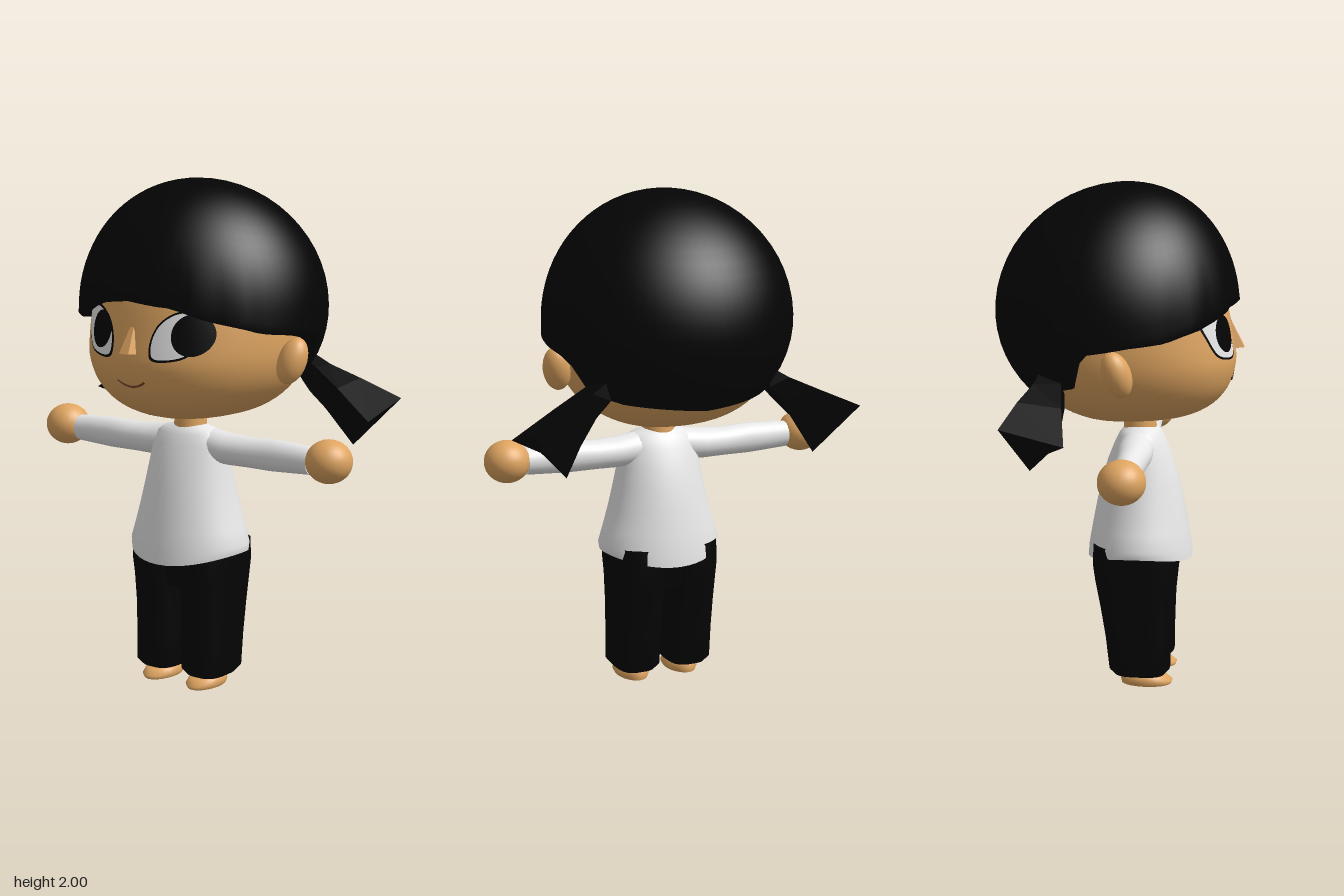
import * as THREE from 'three';
import { ConvexGeometry } from 'three/addons/geometries/ConvexGeometry.js';

const V = (x, y, z) => new THREE.Vector3(x, y, z);
const mat = (name, color, side = THREE.FrontSide) => {
  const m = new THREE.MeshStandardMaterial({ color, side });
  m.name = name;
  return m;
};

// Join rings of equal length into a skin; caps get their own vertices so edges stay sharp
function loft(rings, caps = true) {
  const n = rings[0].length, pos = [], idx = [];
  rings.forEach(r => r.forEach(p => pos.push(p.x, p.y, p.z)));
  for (let i = 0; i < rings.length - 1; i++) for (let j = 0; j < n; j++) {
    const a = i * n + j, b = i * n + (j + 1) % n;
    idx.push(a, b, b + n, a, b + n, a + n);
  }
  if (caps) [rings[0], rings[rings.length - 1]].forEach((r, k) => {
    const base = pos.length / 3, c = V(0, 0, 0);
    r.forEach(p => { pos.push(p.x, p.y, p.z); c.addScaledVector(p, 1 / n); });
    pos.push(c.x, c.y, c.z);
    for (let j = 0; j < n; j++) {
      const a = base + j, b = base + (j + 1) % n;
      k ? idx.push(base + n, a, b) : idx.push(base + n, b, a);
    }
  });
  const g = new THREE.BufferGeometry();
  g.setAttribute('position', new THREE.Float32BufferAttribute(pos, 3));
  g.setIndex(idx);
  g.computeVertexNormals();
  return g;
}

// Horizontal superellipse ring with separate front and back depth
function ring(y, rx, rf, rb, { cx = 0, cz = 0, n = 2, seg = 40, lift = 0 } = {}) {
  return Array.from({ length: seg }, (_, j) => {
    const a = j / seg * Math.PI * 2, s = Math.sin(a), c = Math.cos(a);
    const pw = v => Math.sign(v) * Math.abs(v) ** (2 / n);
    return V(cx + pw(s) * rx, y + lift * s * s, cz + pw(c) * (c > 0 ? rf : rb));
  });
}

// Head form: half width and front depth at each height; the brow leans back
const HEAD_N = 2.2;
function headSize(y) {
  const d = Math.min(1, Math.abs(y - 1.4) / (y < 1.4 ? 0.33 : 0.47));
  const rx = 0.42 * (1 - d ** 2.3) ** (1 / 2.3);
  const lean = 1 - 0.4 * Math.max(0, y - 1.32);
  return { rx, rf: 0.46 * Math.cbrt(1 - d ** 3) * lean, rb: 0.4 * Math.sqrt(1 - d * d) };
}
function onFace(x, y, off) {
  const { rx, rf } = headSize(y);
  return V(x, y, off + rf * Math.max(0, 1 - (Math.abs(x) / rx) ** HEAD_N) ** (1 / HEAD_N));
}

// Thin painted patch that follows the face, from a counterclockwise outline
function decal(outline, off) {
  const c = outline.reduce((s, p) => s.add(p), V(0, 0, 0)).divideScalar(outline.length);
  const rings = [];
  for (let i = 6; i >= 0; i--) rings.push(outline.map(p => {
    const q = c.clone().lerp(p, i / 6);
    return onFace(q.x, q.y, off);
  }));
  return loft(rings, false);
}

// Hair rim height against angle from the front, in degrees
const RIM = [[0, 1.56], [22, 1.54], [38, 1.495], [54, 1.465], [62, 1.445], [80, 1.43], [104, 1.395], [108, 1.26], [130, 1.22], [180, 1.19]];
function rimHeight(deg) {
  const i = Math.max(1, RIM.findIndex(p => p[0] >= deg - 1e-6));
  const [a, ya] = RIM[i - 1], [b, yb] = RIM[i];
  return ya + (yb - ya) * (deg - a) / (b - a);
}
function hairGeometry() {
  const seg = 72, steps = 20, rings = [];
  for (let i = -1; i <= steps; i++) {
    const t = Math.max(0, i) / steps, r = [];
    for (let j = 0; j < seg; j++) {
      const a = j / seg * Math.PI * 2, deg = Math.min(j, seg - j) * 360 / seg;
      const d = rimHeight(deg) - 1.5, p0 = Math.asin(d / (d > 0 ? 0.5 : 0.45));
      const p = p0 + (Math.PI / 2 - p0) * t, up = Math.sin(p);
      const lock = deg < 65 ? 1 + 0.018 * (j % 4 / 3 - 0.5) * Math.max(0, 1 - 3 * t) : 1;
      const hang = p < 0 && deg < 105 ? 1 : Math.cos(p);
      const s = hang * lock * (i < 0 ? 0.85 : 1);
      r.push(V(Math.sin(a) * 0.497 * s, 1.5 + up * (p > 0 ? 0.5 : 0.45),
        Math.cos(a) * (Math.cos(a) > 0 ? 0.47 : 0.49) * s + (p > 0 ? 0.03 * up * up : 0)));
    }
    rings.push(r);
  }
  return loft(rings, false);
}

export function createModel() {
  const skin = mat('skin', 0xdfa561);
  const black = mat('black hair and trousers', 0x040404, THREE.DoubleSide);
  const white = mat('white cloth', 0xebebeb, THREE.DoubleSide);
  const lip = mat('mouth brown', 0x6b3f24);
  const model = new THREE.Group();
  model.name = 'doll';
  const add = (name, geo, m, parent = model) => {
    const mesh = new THREE.Mesh(geo, m);
    mesh.name = name;
    parent.add(mesh);
    return mesh;
  };

  // Head, neck and hair
  const headRings = [];
  for (let i = 0; i <= 40; i++) {
    const p = (i / 40 - 0.5) * Math.PI, s = Math.sin(p), y = 1.4 + s * (s < 0 ? 0.33 : 0.47);
    const h = headSize(y);
    headRings.push(ring(y, h.rx, h.rf, h.rb, { n: HEAD_N, seg: 72 }));
  }
  add('head', loft(headRings, false), skin);
  add('neck', new THREE.CylinderGeometry(0.06, 0.07, 0.14, 24), skin).position.set(0, 1.05, 0.08);
  add('hair', hairGeometry(), black);

  // Nose and mouth
  add('nose', new ConvexGeometry([V(-0.008, 1.46, 0.438), V(0.008, 1.46, 0.438), V(-0.035, 1.36, 0.43),
    V(0.035, 1.36, 0.43), V(-0.022, 1.363, 0.488), V(0.022, 1.363, 0.488)]), skin);
  const smile = [];
  for (let i = -4; i <= 4; i++) smile.push(onFace(i * 0.016, 1.234 + 0.022 * (i / 4) ** 2, 0));
  add('mouth', new THREE.TubeGeometry(new THREE.CatmullRomCurve3(smile), 20, 0.0045, 6), lip);

  // Eyes: black rim, white and a pupil glancing to one side
  const eyeShape = [[-0.285, 1.5], [-0.265, 1.43], [-0.23, 1.37], [-0.18, 1.35], [-0.105, 1.352],
    [-0.095, 1.4], [-0.12, 1.47], [-0.18, 1.515], [-0.25, 1.52]];
  for (const s of [-1, 1]) {
    const pts = eyeShape.map(([x, y]) => V(-s * x, y, 0));
    if (s > 0) pts.reverse();
    const line = new THREE.CatmullRomCurve3(pts, true).getPoints(48).slice(0, 48);
    const c = V(s * 0.19, 1.435, 0);
    add('eyeRim', decal(line.map(p => c.clone().lerp(p, 1.1)), 0.003), black);
    add('eyeWhite', decal(line, 0.005), white);
    const px = s < 0 ? -0.165 : 0.24, r = s < 0 ? 0.063 : 0.07;
    const disc = Array.from({ length: 36 }, (_, i) => {
      const a = i / 36 * Math.PI * 2;
      return V(px + Math.cos(a) * r, 1.44 + Math.sin(a) * (r + 0.008), 0);
    });
    add('pupil', decal(disc, 0.008), black);
  }

  // Shirt body, with the hem raised at the sides
  const shirt = [[0.51, 0.245, 0.21, 0.04], [0.565, 0.252, 0.205, 0.015], [0.64, 0.233, 0.192, 0], [0.73, 0.208, 0.175, 0],
    [0.82, 0.188, 0.155, 0], [0.9, 0.173, 0.132, 0], [0.97, 0.163, 0.105, 0], [1.01, 0.148, 0.085, 0],
    [1.03, 0.115, 0.07, 0], [1.045, 0.06, 0.05, 0]];
  add('shirt', loft(shirt.map(([y, rx, rz, lift]) => ring(y, rx, rz, rz, { cz: 0.083, lift })), false), white);

  // Seat panel joining the trouser legs
  add('trouserSeat', loft([[0.4, 0.12], [0.5, 0.145], [0.58, 0.15]]
    .map(([y, rz]) => ring(y, 0.12, rz, rz, { cz: 0.07, n: 2.4 }))), black);

  // Paired parts, made for the left and mirrored
  for (const s of [1, -1]) {
    const half = new THREE.Group();
    half.name = s > 0 ? 'leftSide' : 'rightSide';
    half.scale.x = s;
    model.add(half);

    const ear = add('ear', new THREE.SphereGeometry(1, 24, 16), skin, half);
    ear.scale.set(0.056, 0.092, 0.055);
    ear.position.set(0.452, 1.325, 0.035);
    ear.rotation.set(-0.3, 0, -0.2);

    // Sleeve runs outward along x: [x, centre y, half height, half depth]
    const sleeve = [[0.05, 0.968, 0.068, 0.062], [0.12, 0.966, 0.065, 0.07], [0.19, 0.96, 0.062, 0.07], [0.28, 0.958, 0.059, 0.062],
      [0.4, 0.96, 0.062, 0.056], [0.5, 0.96, 0.057, 0.052], [0.575, 0.96, 0.053, 0.05]];
    add('sleeve', loft(sleeve.map(([x, y, ry, rz]) => Array.from({ length: 24 }, (_, j) => {
      const a = j / 24 * Math.PI * 2;
      return V(x, y + Math.cos(a) * ry, 0.075 + Math.sin(a) * rz);
    }))), white, half);
    const wrist = add('wrist', new THREE.CylinderGeometry(0.045, 0.045, 0.1, 20), skin, half);
    wrist.rotation.z = Math.PI / 2;
    wrist.position.set(0.58, 0.962, 0.075);
    const hand = add('hand', new THREE.SphereGeometry(0.09, 28, 20), skin, half);
    hand.scale.y = 0.93;
    hand.position.set(0.65, 0.967, 0.075);

    // Trouser leg with a turned-in cuff, ankle and foot
    add('trouserLeg', loft([[0.045, 0.075, 0.1, 0.092], [0.07, 0.096, 0.122, 0.092], [0.2, 0.096, 0.13, 0.085],
      [0.32, 0.097, 0.142, 0.077], [0.43, 0.099, 0.158, 0.072], [0.5, 0.103, 0.168, 0.072], [0.58, 0.1, 0.165, 0.072]]
      .map(([y, rx, rz, cz]) => ring(y, rx, rz, rz, { cx: 0.114, cz, n: 3 }))), black, half);
    add('ankle', new THREE.CylinderGeometry(0.04, 0.045, 0.1, 18), skin, half).position.set(0.11, 0.07, 0.065);
    add('foot', loft([[0, 0.06, 0.1, 0.1], [0.015, 0.068, 0.107, 0.103], [0.035, 0.064, 0.08, 0.1],
      [0.05, 0.048, 0.03, 0.09], [0.06, 0.028, -0.01, 0.07]]
      .map(([y, rx, f, b]) => ring(y, rx, f, b, { cx: 0.11, cz: 0.118, seg: 28 }))), skin, half);

    // Pigtail: a square tuft flaring towards its slanted cut end
    const tuft = [
      [V(0.37, 1.31, -0.25), V(0.37, 1.31, -0.17), V(0.35, 1.24, -0.16), V(0.35, 1.24, -0.25)],
      [V(0.43, 1.275, -0.265), V(0.43, 1.275, -0.16), V(0.41, 1.18, -0.15), V(0.41, 1.18, -0.25)],
      [V(0.54, 1.225, -0.31), V(0.54, 1.205, -0.145), V(0.48, 1.12, -0.155), V(0.48, 1.08, -0.26)],
      [V(0.7, 1.155, -0.355), V(0.7, 1.095, -0.115), V(0.57, 1.04, -0.19), V(0.54, 0.965, -0.265)]];
    const geo = loft(tuft).toNonIndexed();
    geo.computeVertexNormals();
    const tail = add('pigtail', geo, black, half);
    if (s < 0) tail.position.set(-0.035, 0, -0.02);
  }
  return model;
}
